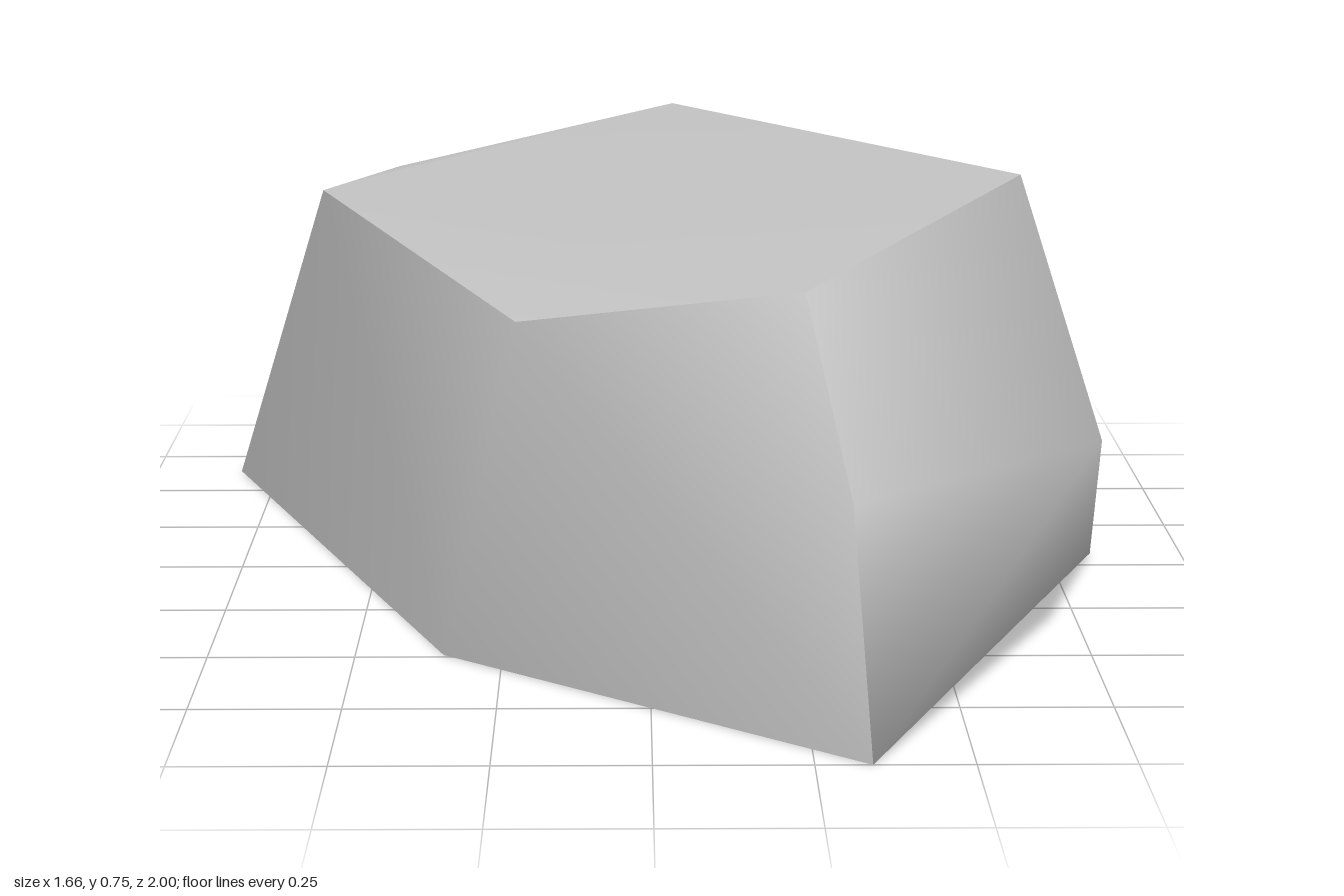
import * as THREE from 'three';

// Corners of the boulder
const P = {
  topBack: [-0.49, 0.64, -0.61],
  topRear: [0.055, 0.75, -0.71],
  topLeft: [0.662, 0.747, 0.062],
  topFront: [0.245, 0.677, 0.695],
  topRight: [-0.22, 0.595, 0.55],
  topSide: [-0.61, 0.655, -0.28],
  rearBulge: [0.01, 0.63, -0.8],
  noseBulge: [0.31, 0.39, 0.91],
  leftBulge: [0.73, 0.42, 0.65],
  footFront: [0.34, 0, 1],
  footLeft: [0.828, 0.005, -0.055],
  footRear: [0.213, 0.005, -1],
  footBack: [-0.828, 0, -0.64],
  footRight: [-0.35, 0, 0.49],
};

// Each facet is smooth inside and sharp at its border; the underside is open
const FACETS = {
  topFacet: [
    ['topRight', 'topFront', 'topSide'],
    ['topSide', 'topFront', 'topLeft'],
    ['topSide', 'topLeft', 'topRear'],
    ['topSide', 'topRear', 'topBack'],
  ],
  frontRightFacet: [
    ['topSide', 'footBack', 'footRight'],
    ['topSide', 'footRight', 'topRight'],
    ['topRight', 'footRight', 'footFront'],
    ['topRight', 'footFront', 'noseBulge'],
    ['topRight', 'noseBulge', 'topFront'],
  ],
  frontLeftFacet: [
    ['topFront', 'noseBulge', 'leftBulge'],
    ['noseBulge', 'footFront', 'leftBulge'],
    ['footFront', 'footLeft', 'leftBulge'],
    ['topFront', 'leftBulge', 'topLeft'],
    ['topLeft', 'leftBulge', 'footLeft'],
  ],
  rearLeftFacet: [
    ['topLeft', 'footLeft', 'footRear'],
    ['topLeft', 'footRear', 'topRear'],
  ],
  backFacet: [
    ['topRear', 'footRear', 'rearBulge'],
    ['rearBulge', 'footRear', 'footBack'],
    ['topBack', 'topRear', 'rearBulge'],
    ['topBack', 'rearBulge', 'footBack'],
    ['topSide', 'topBack', 'footBack'],
  ],
};

const CENTRE = new THREE.Vector3(0, 0.35, 0);

// Order a triangle's corners so that it faces outward
function outward(tri) {
  const [a, b, c] = tri.map((n) => new THREE.Vector3(...P[n]));
  const normal = b.clone().sub(a).cross(c.clone().sub(a));
  return normal.dot(a.sub(CENTRE)) < 0 ? [tri[0], tri[2], tri[1]] : tri;
}

function facetGeometry(tris) {
  const names = [...new Set(tris.flat())];
  const geo = new THREE.BufferGeometry();
  geo.setAttribute('position', new THREE.Float32BufferAttribute(names.flatMap((n) => P[n]), 3));
  geo.setIndex(tris.flatMap((t) => outward(t).map((n) => names.indexOf(n))));
  geo.computeVertexNormals();
  return geo;
}

export function createModel() {
  // Double-sided because the shell is hollow and open below
  const stone = new THREE.MeshStandardMaterial({ color: 0xc4c4c4, side: THREE.DoubleSide });
  stone.name = 'stone grey';
  const boulder = new THREE.Group();
  boulder.name = 'boulder';
  for (const [name, tris] of Object.entries(FACETS)) {
    const mesh = new THREE.Mesh(facetGeometry(tris), stone);
    mesh.name = name;
    boulder.add(mesh);
  }
  return boulder;
}
